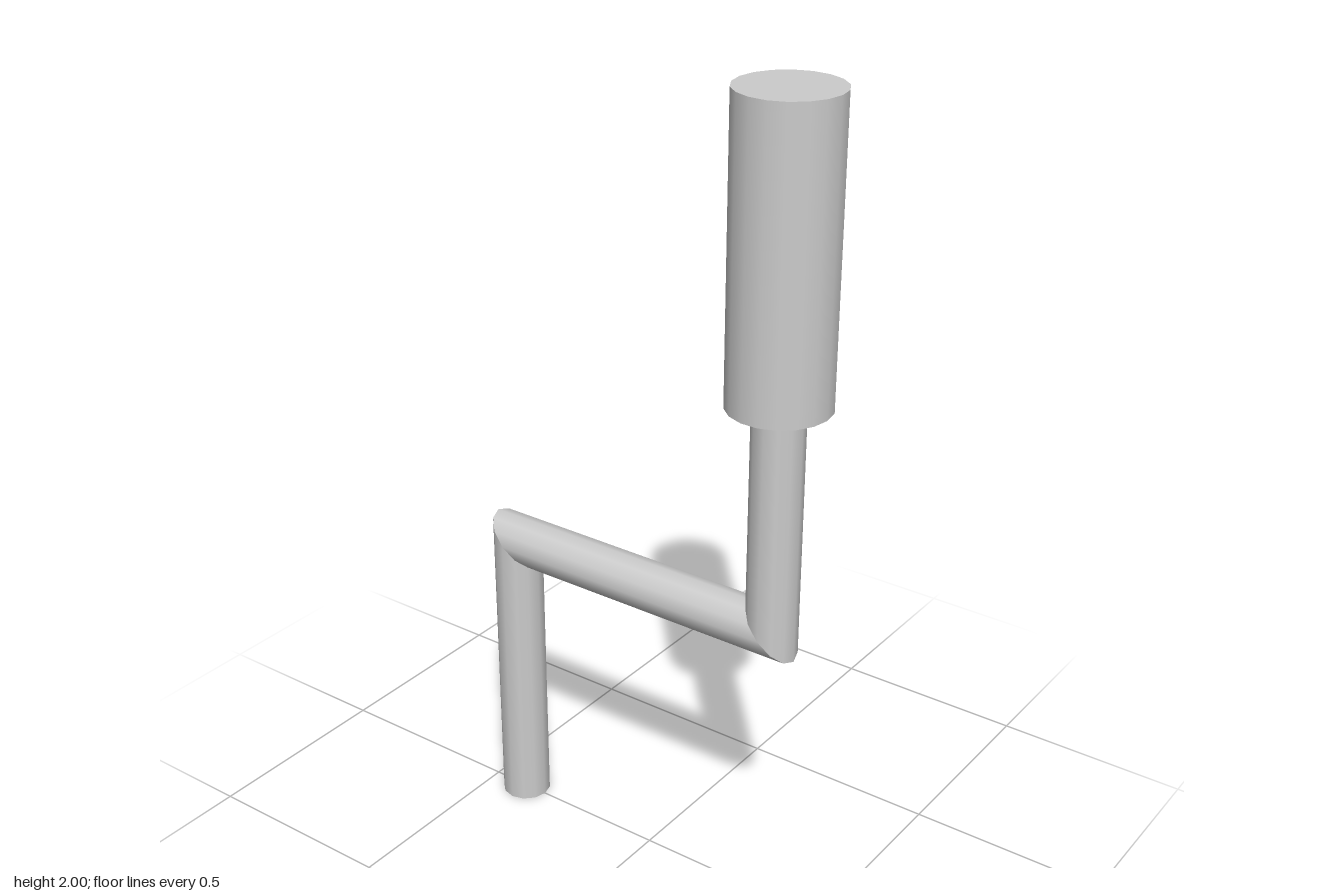
import * as THREE from 'three';

const R = 0.061;        // rod radius
const LOW_X = -0.402;   // axis of the lower post
const HIGH_X = 0.343;   // axis of the upper post and grip
const BAR_Y = 0.747;    // axis of the crossbar

const material = new THREE.MeshStandardMaterial({ color: 0xcccccc, side: THREE.DoubleSide });

function add(group, name, geometry, x, y) {
  const mesh = new THREE.Mesh(geometry, material);
  mesh.name = name;
  mesh.position.set(x, y, 0);
  group.add(mesh);
  return mesh;
}

// Open rod along y whose ends are sheared to form 45 degree mitres
function mitredRod(length, bottomSlope, topSlope) {
  const geometry = new THREE.CylinderGeometry(R, R, length, 12, 1, true);
  const p = geometry.attributes.position;
  for (let i = 0; i < p.count; i++) {
    const slope = p.getY(i) > 0 ? topSlope : bottomSlope;
    p.setY(i, p.getY(i) + slope * p.getX(i));
  }
  return geometry;
}

export function createModel() {
  const group = new THREE.Group();
  group.name = 'crankHandle';

  // Lower post with a closed foot
  add(group, 'lowerPost', mitredRod(BAR_Y, 0, -1), LOW_X, BAR_Y / 2);
  add(group, 'lowerPostEnd', new THREE.CircleGeometry(R, 12).rotateX(Math.PI / 2), LOW_X, 0);

  // Crossbar, mitred into both posts
  const bar = mitredRod(HIGH_X - LOW_X, 1, 1).rotateZ(-Math.PI / 2);
  add(group, 'crossbar', bar, (LOW_X + HIGH_X) / 2, BAR_Y);

  // Upper post, running a little way into the grip
  const postTop = 1.32;
  add(group, 'upperPost', mitredRod(postTop - BAR_Y, -1, 0), HIGH_X, (postTop + BAR_Y) / 2);

  // Grip
  const gripBottom = 1.305;
  const grip = new THREE.CylinderGeometry(0.12, 0.12, 2 - gripBottom, 18, 1, false, Math.PI / 2);
  add(group, 'grip', grip, HIGH_X, (2 + gripBottom) / 2);

  return group;
}
